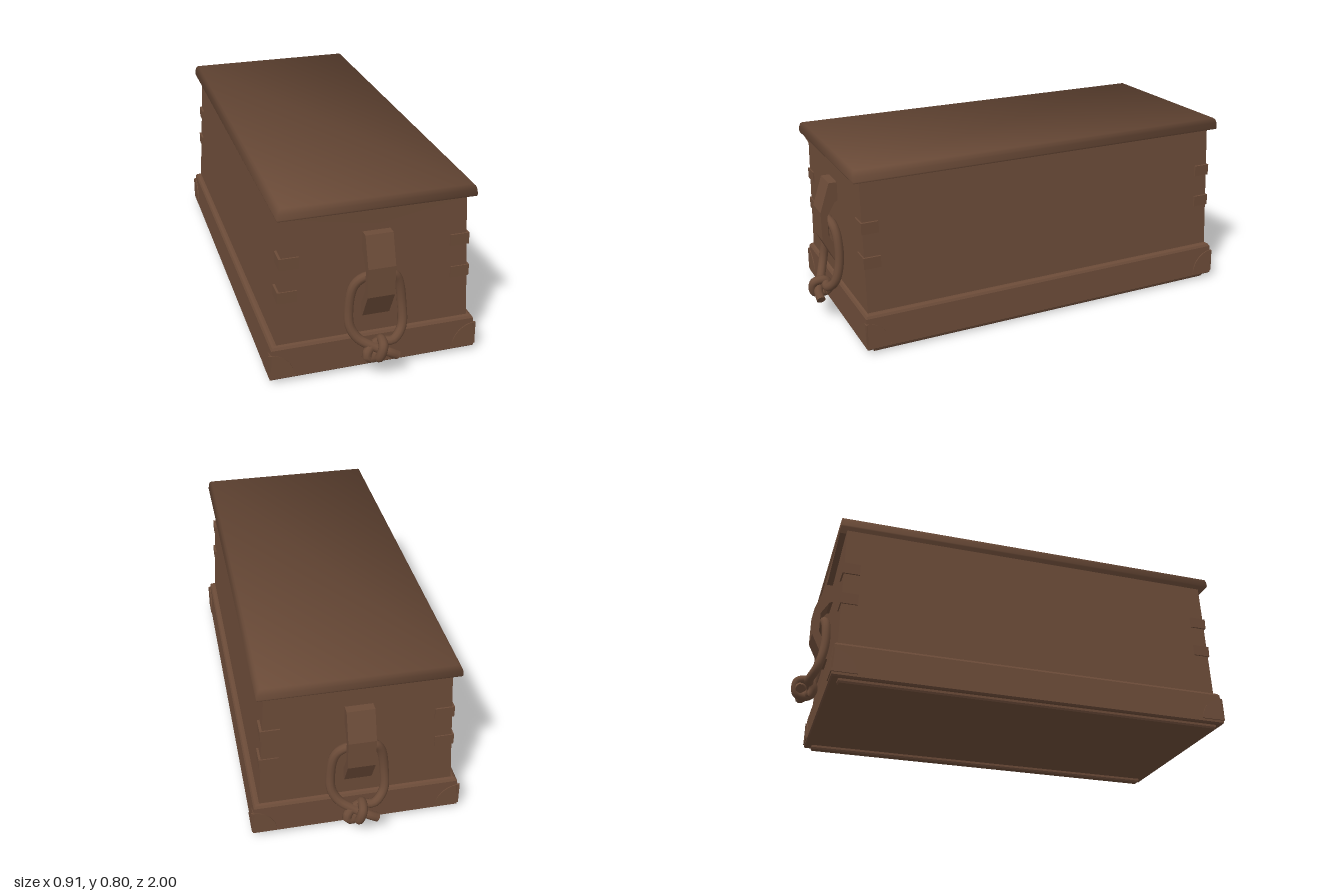
import * as THREE from 'three';

const wood = new THREE.MeshStandardMaterial({ color: 0x6b4b38 });
wood.name = 'brown wood';

function add(group, name, geometry) {
  const mesh = new THREE.Mesh(geometry, wood);
  mesh.name = name;
  group.add(mesh);
  return mesh;
}

// Closed block from rectangular rings [halfX, y, halfZ, normalY], bottom to top.
// Soft blocks share rounded corner normals, hard ones keep flat faces.
function block(rings, soft) {
  const corners = [[1, 1], [1, -1], [-1, -1], [-1, 1]];
  const pos = [], nor = [], idx = [];
  rings.forEach(([hx, y, hz, ny = 0], r) => corners.forEach(([sx, sz], i) => {
    pos.push(hx * sx, y, hz * sz);
    nor.push(...new THREE.Vector3(sx, ny, sz).normalize().toArray());
    if (r === rings.length - 1) return;
    const a = r * 4 + i, b = r * 4 + (i + 1) % 4;
    idx.push(a, b, b + 4, a, b + 4, a + 4);
  }));
  const t = (rings.length - 1) * 4;
  idx.push(t, t + 1, t + 2, t, t + 2, t + 3, 2, 1, 0, 3, 2, 0);
  const g = new THREE.BufferGeometry();
  g.setAttribute('position', new THREE.Float32BufferAttribute(pos, 3));
  g.setAttribute('normal', new THREE.Float32BufferAttribute(nor, 3));
  g.setIndex(idx);
  if (soft) return g;
  const flat = g.toNonIndexed();
  flat.computeVertexNormals();
  return flat;
}

function extrude(shape, depth) {
  return new THREE.ExtrudeGeometry(shape, { depth, bevelEnabled: false, curveSegments: 10 });
}

function polygon(points) {
  return new THREE.Shape(points.map(([x, y]) => new THREE.Vector2(x, y)));
}

// Quarter disc with its square corner at the origin
function quarter(sign) {
  const s = new THREE.Shape();
  s.moveTo(0, 0);
  s.lineTo(sign * 0.11, 0);
  s.absarc(0, 0, 0.105, sign > 0 ? 0 : Math.PI, Math.PI / 2, sign < 0);
  s.closePath();
  return extrude(s, 0.007);
}

function tube(points, segments, radius, closed = false) {
  const curve = new THREE.CatmullRomCurve3(points.map(p => new THREE.Vector3(...p)), closed);
  return new THREE.TubeGeometry(curve, segments, radius, 10, closed);
}

// Rope with flat caps on both cut ends
function rope(group, name, points) {
  add(group, name, tube(points, 70, 0.02));
  const v = points.map(p => new THREE.Vector3(...p));
  [[v[0], v[1]], [v[v.length - 1], v[v.length - 2]]].forEach(([end, inner]) => {
    const cap = add(group, name + 'End', new THREE.CircleGeometry(0.02, 10));
    cap.position.copy(end);
    cap.lookAt(end.clone().multiplyScalar(2).sub(inner));
  });
}

// Everything on one end of the chest, facing +z
function makeEnd() {
  const end = new THREE.Group();

  // Pointed board hanging below the lid
  add(end, 'lidApron', extrude(polygon([
    [-0.39, 0.752], [-0.03, 0.687], [0, 0.684], [0.03, 0.687], [0.39, 0.752],
  ]), 0.027)).position.z = 0.857;

  // Bent cleat with a gap behind it for the rope
  const cleat = extrude(polygon([
    [0.85, 0.64], [0.893, 0.64], [0.937, 0.51], [0.937, 0.38], [0.88, 0.265], [0.85, 0.265],
    [0.85, 0.31], [0.872, 0.33], [0.908, 0.4], [0.908, 0.49], [0.872, 0.55], [0.85, 0.56],
  ]), 0.116);
  cleat.rotateY(-Math.PI / 2);
  cleat.translate(0.058, 0, 0);
  add(end, 'handleCleat', cleat);

  // Rope handle: loop through the cleat, its two ends crossing in a knot
  rope(end, 'ropeHandle', [
    [0.068, 0.105, 0.965], [0.03, 0.128, 0.965], [-0.03, 0.15, 0.94], [-0.085, 0.18, 0.915],
    [-0.115, 0.23, 0.895], [-0.118, 0.3, 0.882], [-0.1, 0.41, 0.882], [-0.065, 0.448, 0.888],
    [0, 0.455, 0.89], [0.065, 0.448, 0.888], [0.092, 0.41, 0.882], [0.11, 0.3, 0.882],
    [0.105, 0.2, 0.905], [0.06, 0.158, 0.93], [0, 0.16, 0.925], [-0.05, 0.14, 0.945],
    [-0.062, 0.115, 0.955], [-0.03, 0.1, 0.95], [0.0, 0.115, 0.92],
  ]);
  add(end, 'ropeKnot', tube([
    [-0.012, 0.112, 0.972], [0.002, 0.165, 0.975], [0.008, 0.172, 0.93],
    [0.005, 0.14, 0.905], [-0.01, 0.108, 0.92],
  ], 36, 0.02, true));

  // Straps wrapped round the body corners
  [[0.4, 0.545], [0.409, 0.395]].forEach(([x, y]) => [1, -1].forEach(s => {
    add(end, 'cornerStrap', new THREE.BoxGeometry(0.082, 0.05, 0.075))
      .position.set(s * (x - 0.041), y, 0.8265);
  }));

  // Quarter-round guards on the corners of the plinth
  [1, -1].forEach(s => {
    const front = add(end, 'cornerGuard', quarter(s));
    front.position.set(-s * 0.453, 0.035, 0.878);
    front.rotation.x = -0.035;
    const side = add(end, 'cornerGuard', quarter(s).rotateY(Math.PI / 2));
    side.position.set(0.447, 0.035, s * 0.884);
    side.rotation.z = 0.07;
  });
  return end;
}

export function createModel() {
  const model = new THREE.Group();
  model.name = 'chest';

  // Tapered body and flared plinth
  add(model, 'body', block([[0.416, 0.165, 0.861], [0.378, 0.75, 0.856]], false));
  add(model, 'plinth', block([
    [0.444, 0.018, 0.875], [0.45, 0.024, 0.881], [0.441, 0.16, 0.877],
    [0.435, 0.17, 0.87], [0.425, 0.175, 0.862],
  ], false));

  // Overhanging lid with softened edges
  add(model, 'lid', block([
    [0.408, 0.745, 0.886, -0.8], [0.41, 0.752, 0.889, 0], [0.407, 0.775, 0.888, 0.2],
    [0.401, 0.79, 0.884, 0.6], [0.392, 0.796, 0.877, 1],
  ], true));

  // Runners under the long sides
  [1, -1].forEach(s => add(model, 'runner', block([
    [0.016, 0, 0.845], [0.02, 0.008, 0.85], [0.02, 0.022, 0.85],
  ], false)).position.x = s * 0.41);

  [0, Math.PI].forEach((turn, i) => {
    const end = makeEnd();
    end.name = i ? 'backEnd' : 'frontEnd';
    end.rotation.y = turn;
    model.add(end);
  });
  return model;
}
